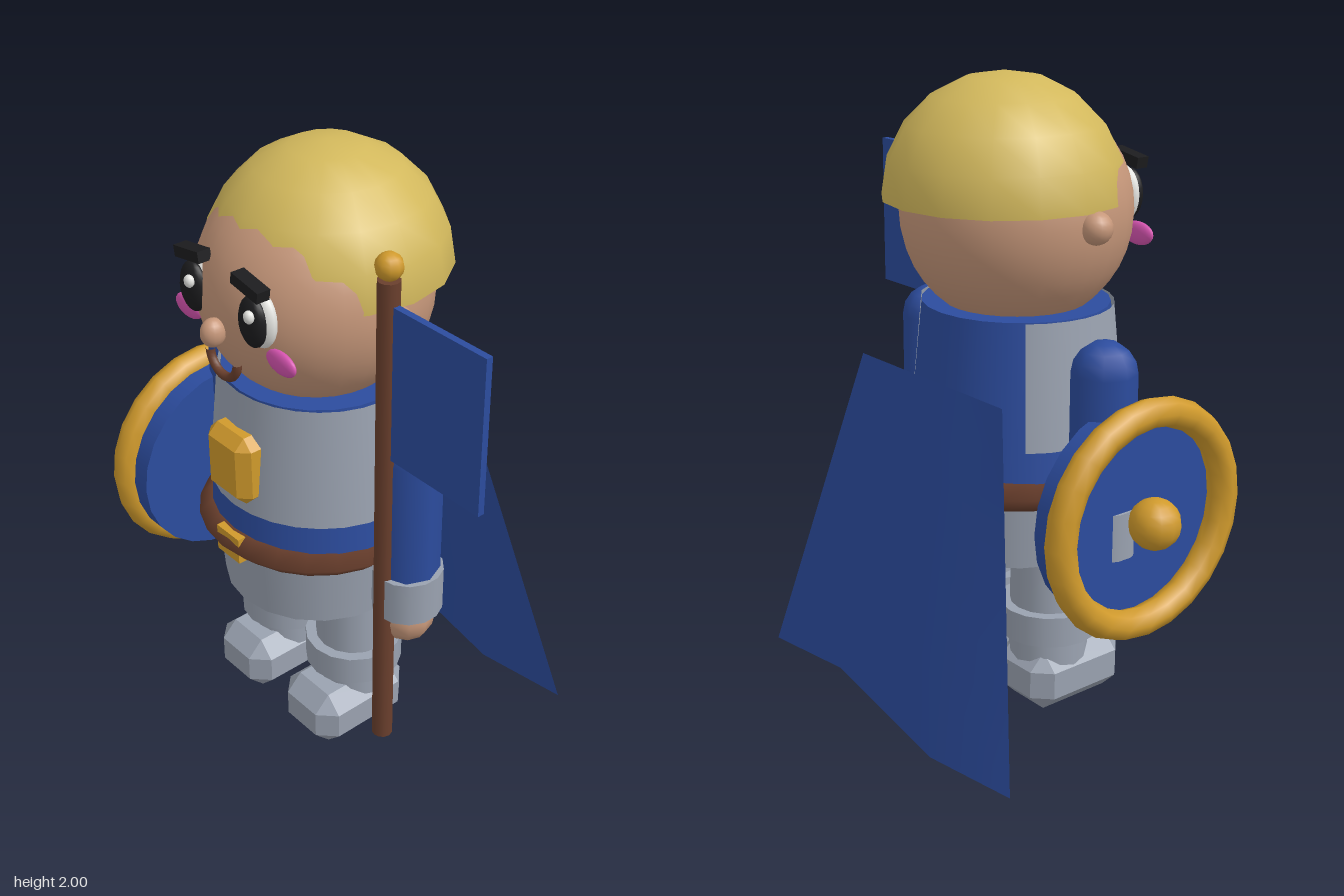
import * as THREE from 'three';
import { ConvexGeometry } from 'three/addons/geometries/ConvexGeometry.js';

const paint = (name, color, side = THREE.FrontSide) => {
  const m = new THREE.MeshStandardMaterial({ color, side });
  m.name = name;
  return m;
};

// Box whose twelve edges are cut at 45 degrees
function chamferBox(w, h, d, c) {
  const pts = [];
  const x = w / 2, y = h / 2, z = d / 2;
  for (const i of [-1, 1]) for (const j of [-1, 1]) for (const k of [-1, 1]) {
    pts.push(
      new THREE.Vector3(i * x, j * (y - c), k * (z - c)),
      new THREE.Vector3(i * (x - c), j * y, k * (z - c)),
      new THREE.Vector3(i * (x - c), j * (y - c), k * z));
  }
  return new ConvexGeometry(pts);
}

// Cylinder given by its bottom and top heights
const tube = (rTop, rBottom, y0, y1, sides = 20) =>
  new THREE.CylinderGeometry(rTop, rBottom, y1 - y0, sides).translate(0, (y0 + y1) / 2, 0);

const ball = (rx, ry = rx, rz = rx, w = 16, h = 12) =>
  new THREE.SphereGeometry(1, w, h).scale(rx, ry, rz);

export function createModel() {
  const steel = paint('steel grey', 0x9aa2b0, THREE.DoubleSide);
  const blue = paint('royal blue', 0x2c4c9e, THREE.DoubleSide);
  const hairMat = paint('blond', 0xd2b85c, THREE.DoubleSide);
  const skin = paint('skin', 0xc6977a);
  const gold = paint('gold', 0xd09a2c);
  const brown = paint('brown', 0x6a3f2d);
  const pink = paint('pink', 0xd654b0);
  const black = paint('black', 0x1c1c1e);
  const white = paint('white', 0xe4e4e0);

  const model = new THREE.Group();
  model.name = 'knight';
  // The figure stands a little off centre; held things use model coordinates
  const figure = new THREE.Group();
  figure.name = 'figure';
  figure.position.set(-0.06, 0, 0.08);
  model.add(figure);

  const add = (parent, name, geometry, material, x = 0, y = 0, z = 0) => {
    const mesh = new THREE.Mesh(geometry, material);
    mesh.name = name;
    mesh.position.set(x, y, z);
    parent.add(mesh);
    return mesh;
  };

  // Torso with a plate wrapped round the front
  add(figure, 'tunic', tube(0.3, 0.355, 0.76, 1.3, 24).scale(1, 1, 0.97), blue);
  const plate = new THREE.CylinderGeometry(0.315, 0.354, 0.39, 20, 1, true, -0.7 * Math.PI, 1.4 * Math.PI);
  add(figure, 'breastplate', plate.scale(1, 1, 0.95), steel, 0, 1.105, 0);
  add(figure, 'hips', tube(0.33, 0.31, 0.52, 0.78), steel);
  add(figure, 'belt', new THREE.TorusGeometry(0.33, 0.056, 4, 24).rotateX(Math.PI / 2), brown, 0, 0.773, 0);
  add(figure, 'buckle', new THREE.BoxGeometry(0.11, 0.09, 0.05), gold, 0, 0.77, 0.34);
  add(figure, 'chestEmblem', chamferBox(0.2, 0.235, 0.13, 0.035), gold, 0, 1.065, 0.305);

  // Head
  add(figure, 'head', ball(0.36, 0.36, 0.36, 28, 20), skin, 0, 1.58, 0);
  add(figure, 'hair', new THREE.SphereGeometry(0.375, 16, 5, 0, Math.PI * 2, 0, Math.PI / 2), hairMat, 0, 1.627, -0.05);
  add(figure, 'nose', ball(0.035, 0.045, 0.04), skin, 0, 1.53, 0.377);
  add(figure, 'mouth', new THREE.TorusGeometry(0.065, 0.014, 8, 16, Math.PI).rotateZ(Math.PI), brown, 0, 1.44, 0.345);

  // Paired parts
  for (const s of [-1, 1]) {
    const side = s > 0 ? 'left' : 'right';
    add(figure, side + 'Ear', ball(0.05), skin, s * 0.36, 1.58, 0);
    add(figure, side + 'Eye', ball(0.065, 0.09, 0.035), white, s * 0.14, 1.61, 0.312);
    add(figure, side + 'Pupil', ball(0.055, 0.08, 0.032), black, s * 0.14, 1.61, 0.338);
    add(figure, side + 'EyeGlint', ball(0.018, 0.02, 0.015, 10, 8), white, s * 0.14 + 0.024, 1.645, 0.37);
    add(figure, side + 'Brow', new THREE.BoxGeometry(0.12, 0.035, 0.045), black, s * 0.135, 1.72, 0.34).rotation.z = -s * 0.17;
    add(figure, side + 'Cheek', ball(0.065, 0.037, 0.018), pink, s * 0.22, 1.5, 0.305);

    // Arm
    add(figure, side + 'Shoulder', ball(0.1, 0.1, 0.1, 8, 8), blue, s * 0.42, 1.16, -0.01);
    add(figure, side + 'Arm', tube(0.1, 0.1, 0.7, 1.16, 8), blue, s * 0.42, 0, -0.01);
    add(figure, side + 'Cuff', tube(0.112, 0.112, 0.6, 0.75, 14), steel, s * 0.42, 0, -0.01);
    add(figure, side + 'Hand', ball(0.095, 0.095, 0.09, 10, 8), skin, s * 0.42, 0.57, -0.005);

    // Leg
    add(figure, side + 'Leg', tube(0.122, 0.128, 0.15, 0.56, 16), steel, s * 0.175, 0, 0);
    add(figure, side + 'Greave', tube(0.16, 0.16, 0.24, 0.34, 16), steel, s * 0.175, 0, 0);
    add(figure, side + 'Boot', chamferBox(0.255, 0.2, 0.37, 0.055), steel, s * 0.18, 0.1, 0.045);
  }

  // Cape: a sheet that widens and ripples towards the hem
  const cape = new THREE.PlaneGeometry(2, 1, 4, 4);
  const p = cape.attributes.position;
  for (let i = 0; i < p.count; i++) {
    const u = p.getX(i), t = 0.5 - p.getY(i);
    const half = 0.35 + 0.28 * t;
    p.setXYZ(i, u * half, 1.1 - 1.06 * t, -0.26 - t * (0.195 - 0.048 * Math.sin(u * Math.PI)));
  }
  cape.computeVertexNormals();
  add(model, 'cape', cape, blue, -0.06, 0, 0);

  // Round shield on the right arm, facing outwards
  const shield = new THREE.Group();
  shield.name = 'shield';
  shield.position.set(-0.58, 0.73, 0.115);
  model.add(shield);
  add(shield, 'shieldDisc', new THREE.CylinderGeometry(0.335, 0.335, 0.07, 24).rotateZ(Math.PI / 2), blue, 0.035, 0, 0);
  add(shield, 'shieldRim', new THREE.TorusGeometry(0.333, 0.047, 8, 24).rotateY(Math.PI / 2), gold, -0.043, 0, 0);
  add(shield, 'shieldBoss', ball(0.08, 0.08, 0.08, 12, 10), gold, -0.085, 0, 0);

  // Banner in the left hand
  const banner = new THREE.Group();
  banner.name = 'banner';
  banner.position.set(0.35, 0, 0.157);
  model.add(banner);
  add(banner, 'pole', tube(0.034, 0.034, 0.1, 1.76, 12), brown);
  add(banner, 'finial', ball(0.042, 0.042, 0.042, 10, 8), gold, 0, 1.8, 0);
  add(banner, 'flag', new THREE.BoxGeometry(0.37, 0.5, 0.022), blue, 0.205, 1.44, 0);

  return model;
}
